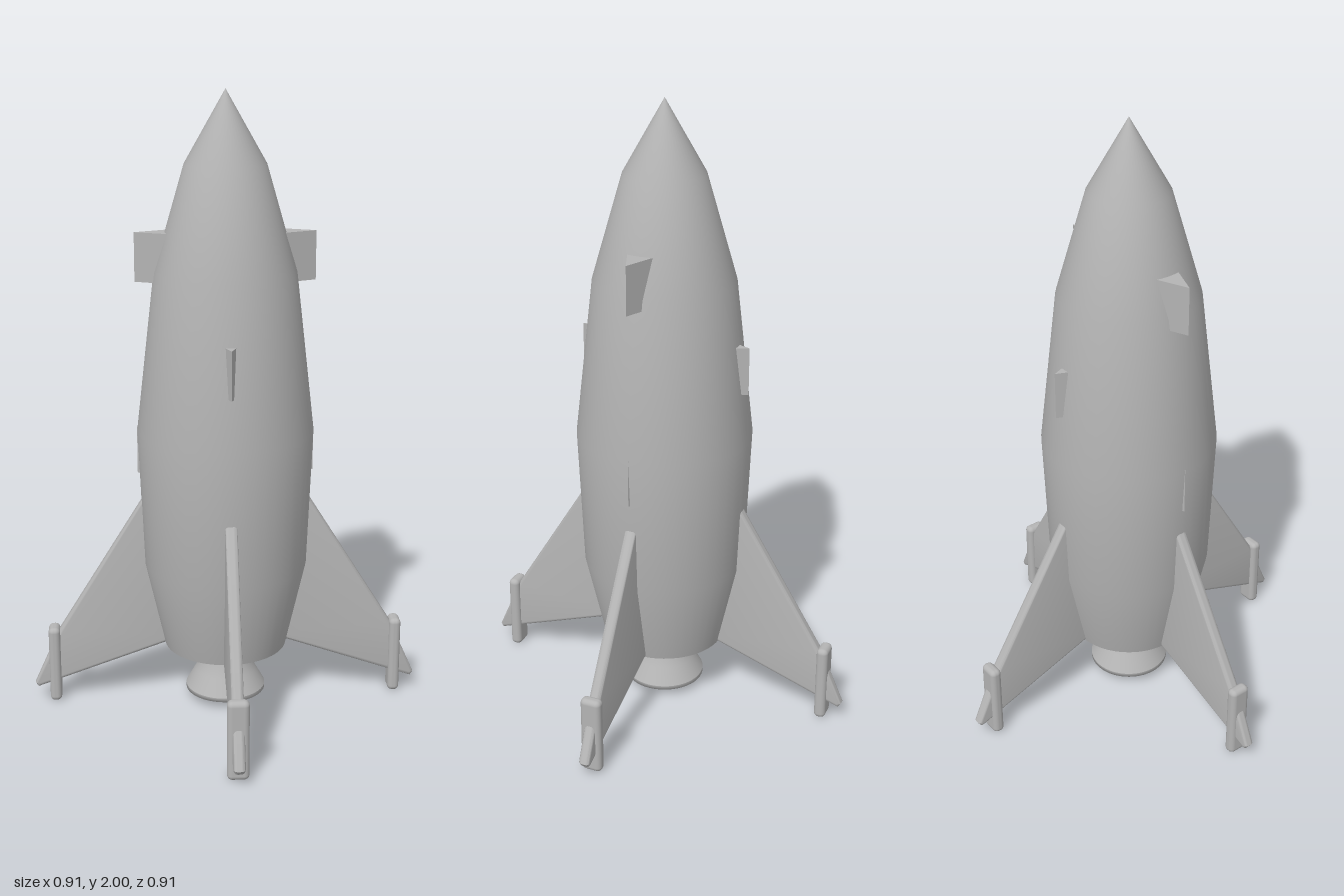
import * as THREE from 'three';
import { toCreasedNormals } from 'three/addons/utils/BufferGeometryUtils.js';
import { RoundedBoxGeometry } from 'three/addons/geometries/RoundedBoxGeometry.js';

const SEGMENTS = 48;
const hull = new THREE.MeshStandardMaterial({ color: 0xb4b4b4 });
hull.name = 'hull grey';

function part(name, geometry) {
  const mesh = new THREE.Mesh(geometry, hull);
  mesh.name = name;
  return mesh;
}

function lathe(points) {
  return new THREE.LatheGeometry(points.map(([r, y]) => new THREE.Vector2(r, y)), SEGMENTS);
}

// Flat outline in the xy plane, extruded along z and centred on it
function slab(points, depth, bevel = 0) {
  const shape = new THREE.Shape(points.map(([x, y]) => new THREE.Vector2(x, y)));
  const geometry = new THREE.ExtrudeGeometry(shape, {
    depth: depth - 2 * bevel,
    bevelEnabled: bevel > 0,
    bevelThickness: bevel,
    bevelSize: bevel,
    bevelOffset: -bevel,
    bevelSegments: 4,
  });
  geometry.translate(0, 0, bevel - depth / 2);
  return geometry;
}

export function createModel() {
  const rocket = new THREE.Group();
  rocket.name = 'rocket';

  // Fuselage with a flat underside
  rocket.add(part('fuselage', lathe([
    [0.2, 0.195], [0.264, 0.48], [0.282, 0.934], [0.224, 1.443], [0.128, 1.775], [0, 2],
  ])));
  const base = part('fuselageBase', new THREE.CircleGeometry(0.2, SEGMENTS));
  base.rotation.x = Math.PI / 2;
  base.position.y = 0.195;
  rocket.add(base);

  // Engine nozzle: hollow bell, rim and flared outside
  rocket.add(part('nozzleInside', lathe([[0, 0.075], [0.06, 0.07], [0.12, 0.027]])));
  rocket.add(part('nozzleRim', lathe([[0.12, 0.027], [0.131, 0.027], [0.131, 0.04]])));
  rocket.add(part('nozzle', lathe([
    [0.131, 0.04], [0.1, 0.095], [0.076, 0.14], [0.077, 0.165], [0.09, 0.2],
  ])));

  const finGeometry = toCreasedNormals(slab([
    [0.15, 0.212], [0.625, 0.046], [0.635, 0.06], [0.55, 0.25], [0.24, 0.748],
  ], 0.038, 0.013), 0.6);
  const podGeometry = new RoundedBoxGeometry(0.038, 0.26, 0.068, 4, 0.016);

  // Wedge strake: triangular prism with its sharp edge outwards
  const strakeGeometry = slab([[0.12, -0.067], [0.283, 0], [0.12, 0.067]], 0.155);
  strakeGeometry.rotateX(-Math.PI / 2);

  for (let i = 0; i < 4; i++) {
    const quarter = new THREE.Group();
    quarter.name = `finAssembly${i + 1}`;
    quarter.rotation.y = -Math.PI / 4 - i * Math.PI / 2;

    // Swept fin with an upright landing pad near its tip
    quarter.add(part('fin', finGeometry));
    const pod = part('landingPad', podGeometry);
    pod.position.set(0.567, 0.13, 0);
    quarter.add(pod);

    // Strakes step down the hull, alternating between neighbouring quarters
    const heights = i % 2 === 0 ? [1.49, 0.865] : [1.178];
    for (const y of heights) {
      const strake = part('strake', strakeGeometry);
      strake.position.y = y;
      quarter.add(strake);
    }
    rocket.add(quarter);
  }
  return rocket;
}
